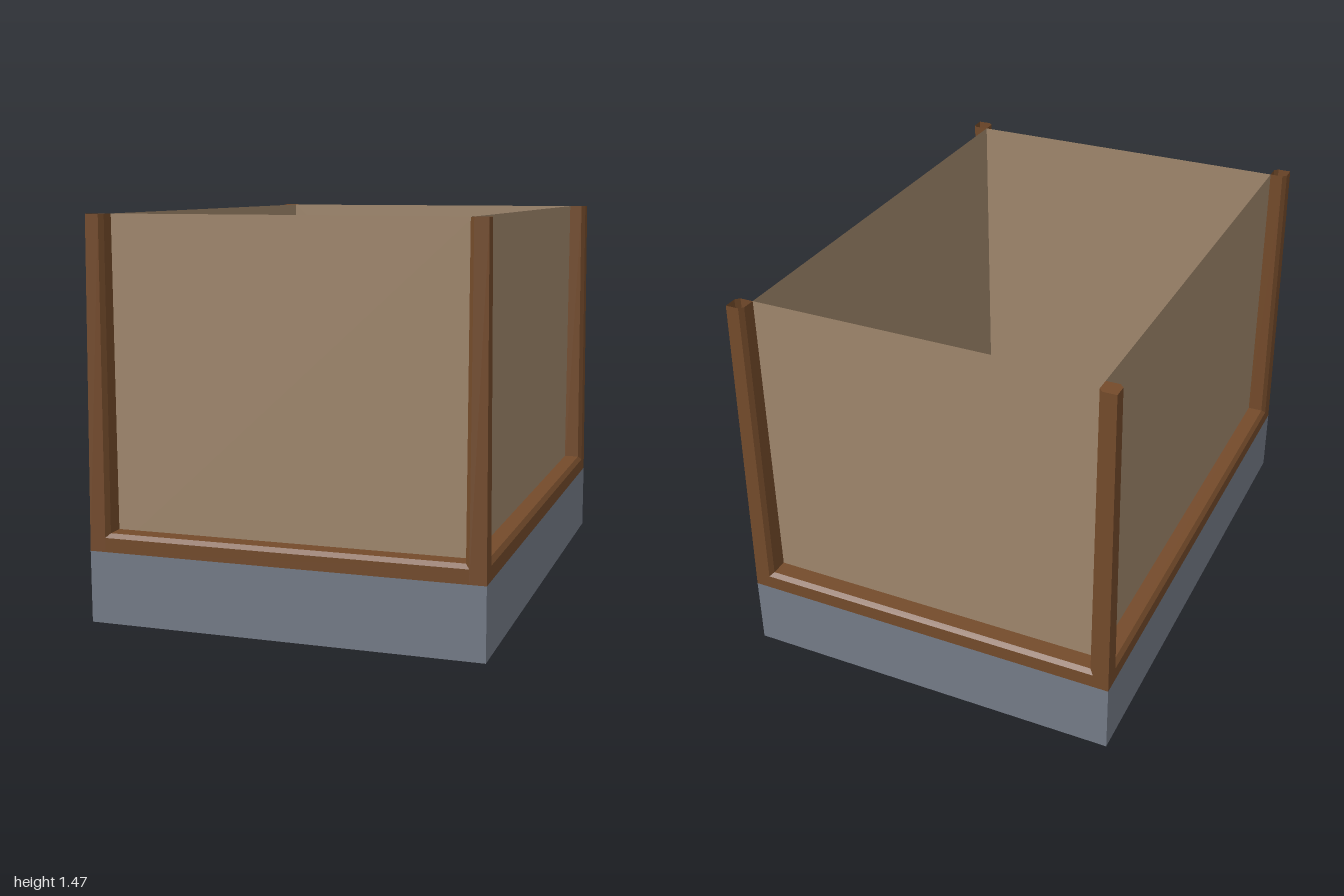
import * as THREE from 'three';

const BASE_TOP = 0.265, RAIL_TOP = 0.332, TOP = 1.47;
const INNER = { x: 0.655, z: 0.92 };   // planes of the panels
const BEVEL = 0.015;

// outer faces of the frame lean slightly inward with height
const lean = (y) => (y - BASE_TOP) / (TOP - BASE_TOP);
const outer = { x: (y) => 0.73 - 0.01 * lean(y), z: (y) => 1 - 0.014 * lean(y) };

// flat-shaded geometry from a list of quads and triangles
function facets(faces) {
  const pos = [];
  for (const f of faces)
    for (let i = 1; i < f.length - 1; i++) pos.push(...f[0], ...f[i], ...f[i + 1]);
  const g = new THREE.BufferGeometry();
  g.setAttribute('position', new THREE.Float32BufferAttribute(pos, 3));
  g.computeVertexNormals();
  return g;
}

// hollow corner post with two bevelled edges
function postGeometry(sx, sz, capped) {
  const ring = (y) => {
    const ix = INNER.x, iz = INNER.z, ox = outer.x(y), oz = outer.z(y), c = BEVEL;
    const pts = [[ix, iz], [ix, oz - c], [ix + c, oz], [ox, oz], [ox, iz + c], [ox - c, iz]]
      .map(([x, z]) => [x * sx, y, z * sz]);
    return sx * sz < 0 ? pts.reverse() : pts;
  };
  const lo = ring(BASE_TOP), hi = ring(TOP);
  const faces = lo.map((p, i) => {
    const j = (i + 1) % lo.length;
    return [p, lo[j], hi[j], hi[i]];
  });
  if (capped) faces.push(hi);
  return facets(faces);
}

// bottom rail facing +z: outer face, bevel and flat top, mitred into the posts
function railGeometry(half, inner, out) {
  const yB = RAIL_TOP - BEVEL;
  const profile = [
    [half + BEVEL, BASE_TOP, out(BASE_TOP)],
    [half + BEVEL, yB, out(yB)],
    [half, RAIL_TOP, out(yB) - BEVEL],
    [half, RAIL_TOP, inner],
  ];
  const faces = [];
  for (let i = 0; i < profile.length - 1; i++) {
    const [h0, y0, z0] = profile[i], [h1, y1, z1] = profile[i + 1];
    faces.push([[-h0, y0, z0], [h0, y0, z0], [h1, y1, z1], [-h1, y1, z1]]);
  }
  return facets(faces);
}

export function createModel() {
  const wood = new THREE.MeshStandardMaterial({ color: 0x744b2b, side: THREE.DoubleSide, flatShading: true });
  wood.name = 'brown wood';
  const board = new THREE.MeshStandardMaterial({ color: 0xa1886d, side: THREE.DoubleSide });
  board.name = 'tan board';
  const stone = new THREE.MeshStandardMaterial({ color: 0x767d89 });
  stone.name = 'grey stone';

  const model = new THREE.Group();
  model.name = 'walledEnclosure';
  const add = (name, geometry, material) => {
    const mesh = new THREE.Mesh(geometry, material);
    mesh.name = name;
    model.add(mesh);
    return mesh;
  };

  // foundation slab, also the floor
  add('foundation', new THREE.BoxGeometry(1.46, BASE_TOP, 2), stone).position.y = BASE_TOP / 2;

  // corner posts, one closed on top
  for (const sx of [-1, 1])
    for (const sz of [-1, 1])
      add(`${sz > 0 ? 'front' : 'back'}${sx > 0 ? 'Left' : 'Right'}Post`,
        postGeometry(sx, sz, sx < 0 && sz < 0), wood);

  // a rail and a thin wall panel on each side
  ['front', 'left', 'back', 'right'].forEach((side, i) => {
    const [along, across] = i % 2 ? ['z', 'x'] : ['x', 'z'];
    const half = INNER[along], depth = INNER[across], angle = i * Math.PI / 2;
    add(side + 'Rail', railGeometry(half, depth, outer[across]), wood).rotation.y = angle;
    const height = TOP - BASE_TOP;
    const panel = new THREE.PlaneGeometry(2 * half, height).translate(0, BASE_TOP + height / 2, depth);
    add(side + 'Panel', panel, board).rotation.y = angle;
  });

  return model;
}
